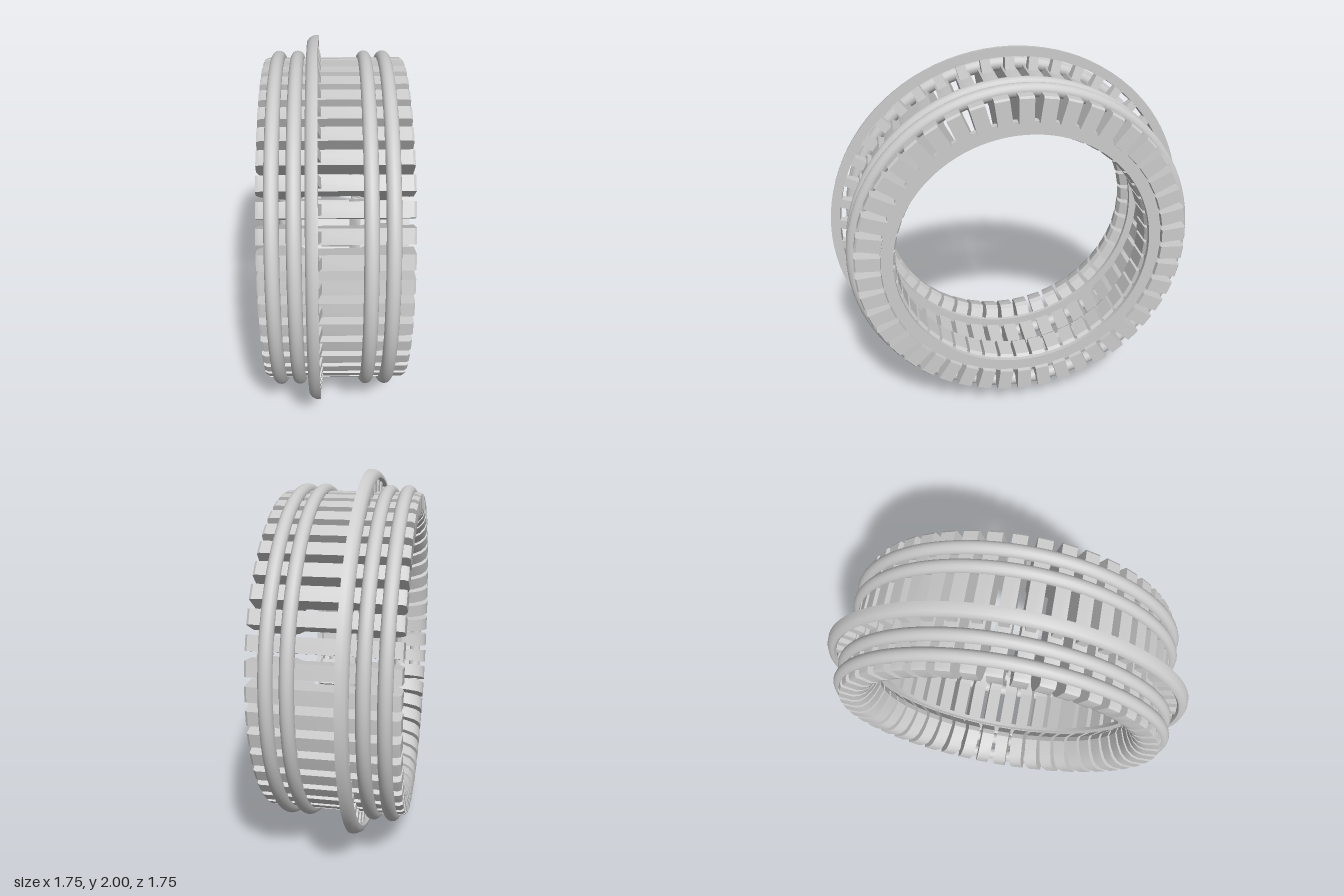
import * as THREE from 'three';
import { toCreasedNormals } from 'three/addons/utils/BufferGeometryUtils.js';

const COUNT = 46;
const mat = new THREE.MeshStandardMaterial({ color: 0xcccccc });

// All profiles are [axial, radius] pairs; the drum axis is local z.
function addMesh(parent, name, geometry) {
  const mesh = new THREE.Mesh(geometry, mat);
  mesh.name = name;
  parent.add(mesh);
  return mesh;
}

// Closed ring swept from a profile (outer side runs toward +axial)
function ring(profile) {
  const pts = [...profile, profile[0]].map(([a, r]) => new THREE.Vector2(r, a));
  const g = new THREE.LatheGeometry(pts, 96);
  g.rotateX(Math.PI / 2);
  return toCreasedNormals(g, 0.6);
}

const bandRing = (a0, a1, r0, r1) => ring([[a0, r0], [a0, r1], [a1, r1], [a1, r0]]);

// Bar cut from a profile, centred on its width, radial along x
function bar(profile, width) {
  const shape = new THREE.Shape(profile.map(([a, r]) => new THREE.Vector2(r, a)));
  const g = new THREE.ExtrudeGeometry(shape, { depth: width, bevelEnabled: false });
  g.translate(0, 0, -width / 2);
  g.rotateX(Math.PI / 2);
  return toCreasedNormals(g, 0.5);
}

export function createModel() {
  const model = new THREE.Group();
  model.name = 'slattedDrum';
  const drum = new THREE.Group();
  drum.name = 'drum';
  drum.position.y = 1;
  drum.rotation.y = Math.PI * 0.75;
  model.add(drum);

  // Slats: rounded front lip, recessed middle, back lip set behind the end face
  const slatGeo = bar([
    [-0.345, 0.882], [-0.362, 0.873], [-0.365, 0.8], [-0.355, 0.765],
    [-0.33, 0.735], [-0.28, 0.708], [-0.215, 0.688], [-0.185, 0.698],
    [-0.14, 0.77], [0.11, 0.77], [0.155, 0.69], [0.18, 0.672], [0.3, 0.672],
    [0.325, 0.69], [0.325, 0.745], [0.362, 0.75], [0.362, 0.873], [0.35, 0.882],
  ], 0.075);
  // Gusset spokes carrying the flange rim
  const spokeGeo = bar([[-0.125, 0.86], [-0.06, 0.86], [-0.085, 0.965], [-0.125, 0.965]], 0.05);

  const slats = new THREE.Group();
  slats.name = 'slats';
  const spokes = new THREE.Group();
  spokes.name = 'flangeSpokes';
  drum.add(slats, spokes);
  for (let i = 0; i < COUNT; i++) {
    const angle = ((i + 0.5) / COUNT) * Math.PI * 2;
    addMesh(slats, 'slat', slatGeo).rotation.z = angle;
    addMesh(spokes, 'flangeSpoke', spokeGeo).rotation.z = angle;
  }

  // Paired round hoops around the outside
  for (const a of [-0.29, -0.19, 0.16, 0.26]) {
    addMesh(drum, 'hoop', new THREE.TorusGeometry(0.884, 0.035, 16, 96)).position.z = a;
  }

  // Flange rim: rounded toward the front, flat at the back
  addMesh(drum, 'flangeRim', ring([
    [-0.08, 0.95], [-0.125, 0.945], [-0.138, 0.955], [-0.137, 0.972],
    [-0.125, 0.988], [-0.105, 0.998], [-0.08, 1.0],
  ]));

  // Thin inner ring below the flange and flat ring sunk into the back face
  addMesh(drum, 'innerRing', bandRing(-0.135, -0.115, 0.728, 0.785));
  addMesh(drum, 'backRing', bandRing(0.305, 0.34, 0.685, 0.755));

  return model;
}
